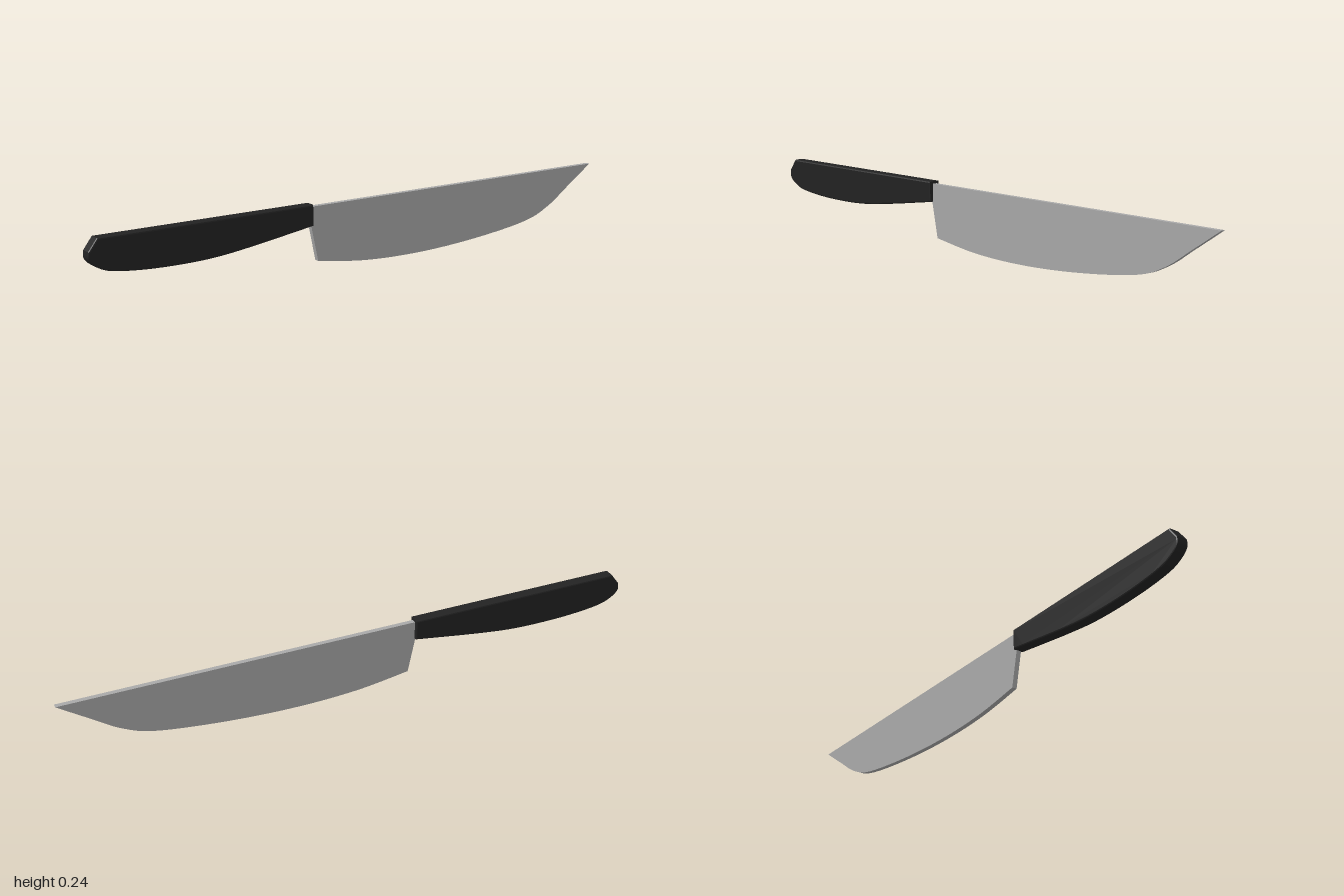
import * as THREE from 'three';

// Extrudes a side profile, drawn in (-z, y), to a given width across x.
function slab(shape, width, bevel, material, name) {
  const geometry = new THREE.ExtrudeGeometry(shape, {
    depth: width - 2 * bevel,
    curveSegments: 10,
    bevelEnabled: bevel > 0,
    bevelThickness: bevel,
    bevelSize: bevel,
    bevelOffset: -bevel,
    bevelSegments: 2,
  });
  geometry.translate(0, 0, bevel - width / 2);
  geometry.rotateY(Math.PI / 2);
  const mesh = new THREE.Mesh(geometry, material);
  mesh.name = name;
  return mesh;
}

const points = (list) => list.map(([x, y]) => new THREE.Vector2(x, y));

export function createModel() {
  const steel = new THREE.MeshStandardMaterial({ color: 0xa8a8a8 });
  steel.name = 'steel';
  const black = new THREE.MeshStandardMaterial({ color: 0x222222 });
  black.name = 'black';

  // Blade: straight spine, slanted heel and curved cutting edge
  const blade = new THREE.Shape();
  blade.moveTo(-0.23, 0.222);
  blade.lineTo(-0.23, 0.17);
  blade.lineTo(-0.216, 0.16);
  blade.lineTo(-0.19, 0.037);
  blade.splineThru(points([
    [0, 0.009], [0.22, 0], [0.46, 0.01], [0.69, 0.037], [0.8, 0.076], [0.9, 0.141], [1, 0.208],
  ]));
  blade.closePath();

  // Handle: nearly flat top, swelling belly and rounded butt
  const handle = new THREE.Shape();
  handle.moveTo(-0.213, 0.23);
  handle.lineTo(-0.968, 0.239);
  handle.lineTo(-0.998, 0.2);
  handle.splineThru(points([
    [-0.998, 0.175], [-0.972, 0.15], [-0.915, 0.129], [-0.78, 0.115], [-0.61, 0.113],
    [-0.46, 0.126], [-0.213, 0.16],
  ]));
  handle.closePath();

  const knife = new THREE.Group();
  knife.name = 'knife';
  knife.add(
    slab(blade, 0.017, 0, steel, 'blade'),
    slab(handle, 0.041, 0.005, black, 'handle'),
  );
  return knife;
}
